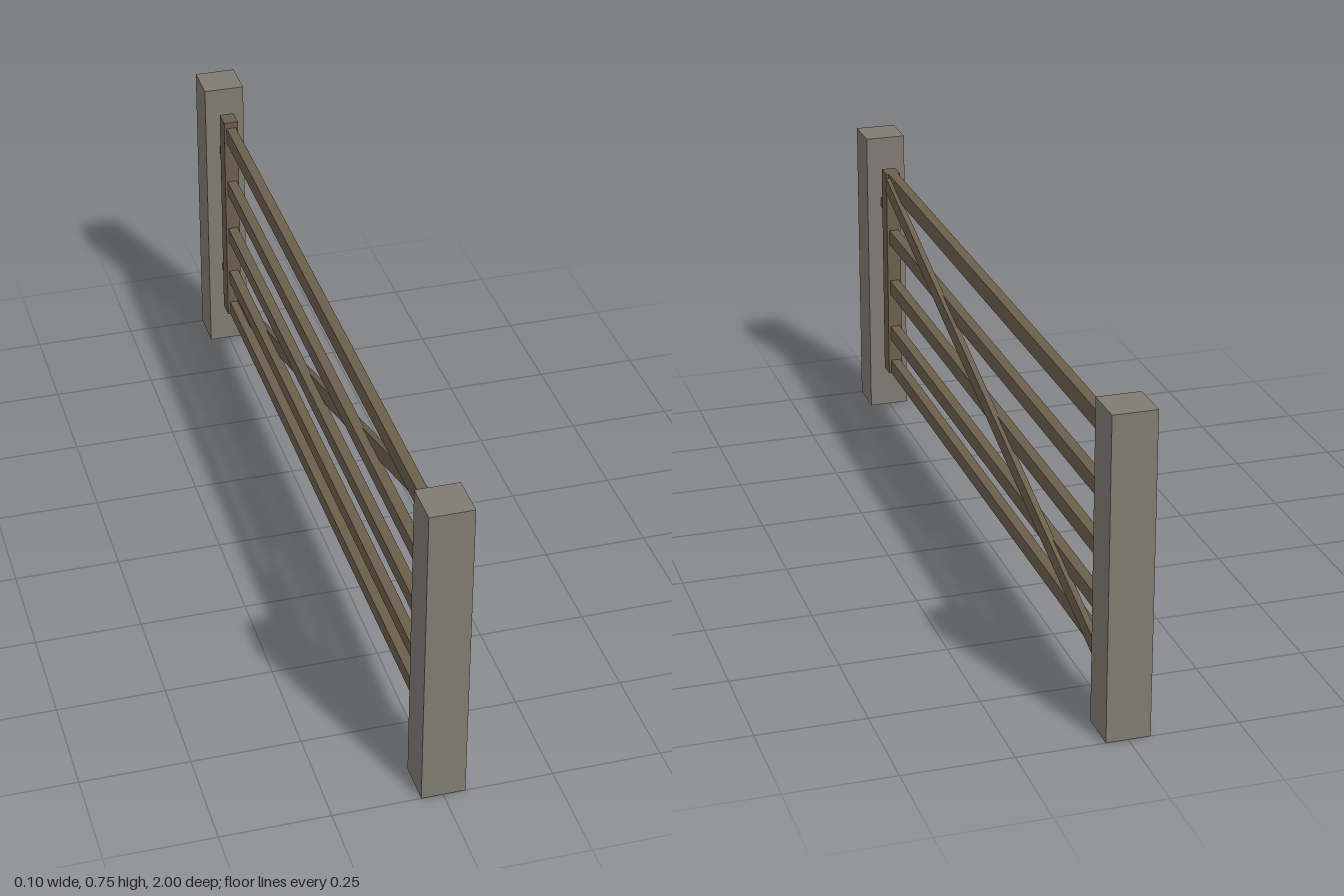
import * as THREE from 'three';

export function createModel() {
  const group = new THREE.Group();
  const stone = new THREE.MeshStandardMaterial({ color: 0x7f7b72 });
  stone.name = 'grey post';
  const wood = new THREE.MeshStandardMaterial({ color: 0x6b5e4c });
  wood.name = 'brown wood';

  // Box given by its extents along each axis
  function bar(name, material, [x0, x1], [y0, y1], [z0, z1]) {
    const mesh = new THREE.Mesh(new THREE.BoxGeometry(x1 - x0, y1 - y0, z1 - z0), material);
    mesh.position.set((x0 + x1) / 2, (y0 + y1) / 2, (z0 + z1) / 2);
    mesh.name = name;
    group.add(mesh);
    return mesh;
  }

  // Gate posts
  bar('latchPost', stone, [-0.05, 0.05], [0, 0.75], [0.9, 1]);
  bar('hingePost', stone, [-0.05, 0.05], [0, 0.75], [-1, -0.9]);

  // Upright stiles at both ends of the gate
  bar('latchStile', wood, [-0.018, 0.018], [0.118, 0.674], [0.828, 0.873]);
  bar('hingeStile', wood, [-0.018, 0.018], [0.118, 0.69], [-0.877, -0.83]);

  // Horizontal rails, closer together toward the ground
  const rails = [[0.118, 0.155], [0.214, 0.251], [0.342, 0.38], [0.481, 0.519], [0.631, 0.674]];
  for (const span of rails) bar('rail', wood, [-0.012, 0.012], span, [-0.832, 0.83]);

  // Diagonal brace fixed to the +x side of the rails
  const rise = 0.513, run = 1.65;
  const half = Math.hypot(rise, run) / 2;
  const brace = bar('diagonalBrace', wood, [0.008, 0.022], [-0.02, 0.02], [-half, half]);
  brace.position.set(0.015, 0.392, -0.005);
  brace.rotation.x = -Math.atan2(rise, run);

  // Hinges and latch bridging the gaps to the posts
  for (const y of [0.226, 0.576]) bar('hinge', wood, [-0.014, 0.014], [y - 0.011, y + 0.011], [-0.9, -0.877]);
  bar('latch', wood, [-0.014, 0.014], [0.562, 0.588], [0.873, 0.9]);

  return group;
}
